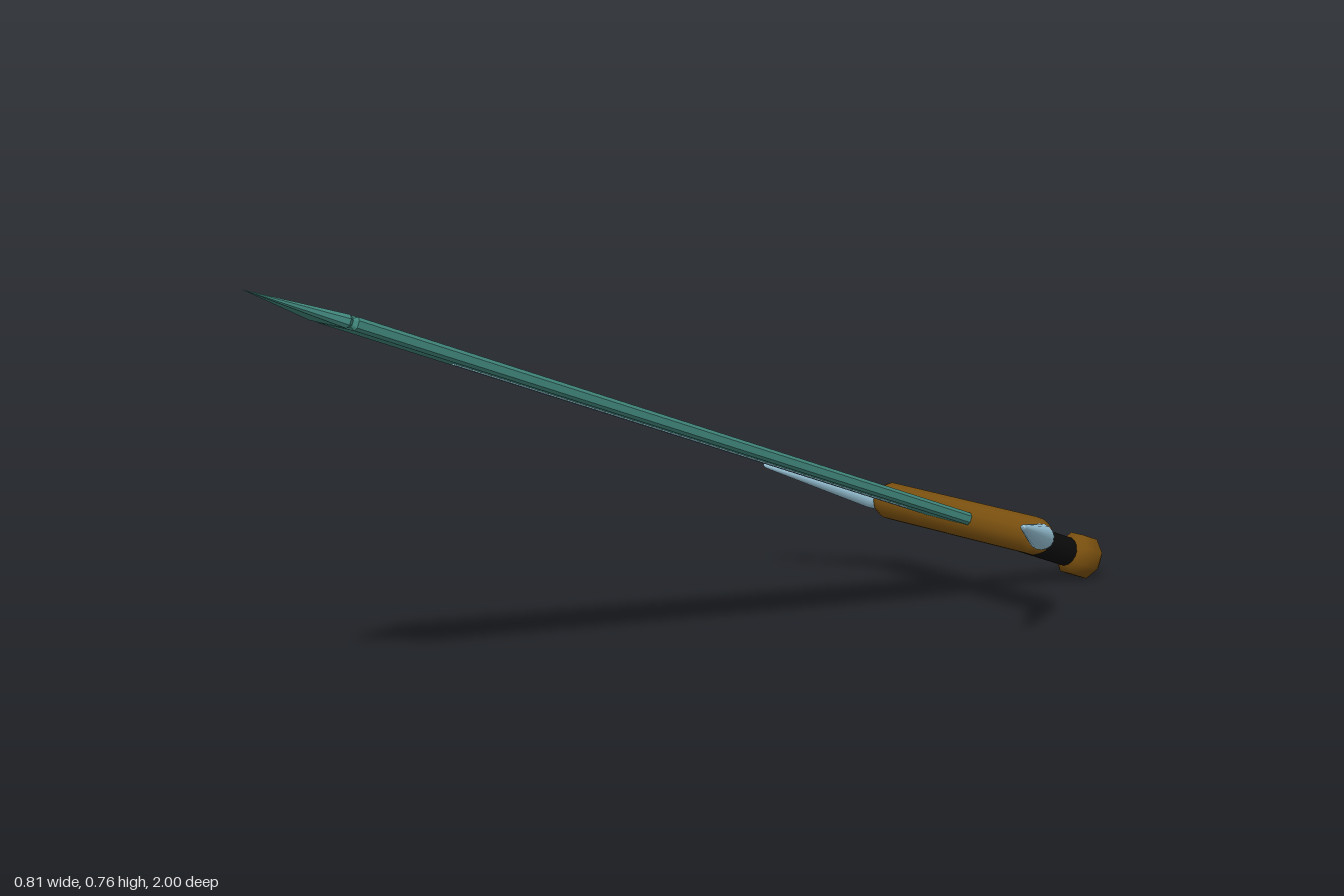
import * as THREE from 'three';

const V2 = (p) => new THREE.Vector2(p[0], p[1]);

// Solid of revolution about y, from [radius, height] points listed bottom to top
function turned(points, sides) {
  return new THREE.LatheGeometry(points.map(V2), sides, Math.PI / sides);
}

// Faceted bar along z: a bevelled rectangle swept through [z, halfWidth, halfThickness, bevel]
function bar(sections) {
  const rings = sections.map(([z, w, t, b]) => [
    [w, -t + b], [w, t - b], [w - b, t], [-w + b, t],
    [-w, t - b], [-w, -t + b], [-w + b, -t], [w - b, -t],
  ].map(([x, y]) => [x, y, z]));
  const pos = [];
  for (let r = 0; r < rings.length - 1; r++) {
    for (let i = 0; i < 8; i++) {
      const j = (i + 1) % 8, a = rings[r], c = rings[r + 1];
      pos.push(...a[i], ...a[j], ...c[j], ...a[i], ...c[j], ...c[i]);
    }
  }
  const g = new THREE.BufferGeometry();
  g.setAttribute('position', new THREE.Float32BufferAttribute(pos, 3));
  g.computeVertexNormals();
  return g;
}

export function createModel() {
  const material = (name, color) => {
    const m = new THREE.MeshStandardMaterial({ color });
    m.name = name;
    return m;
  };
  const teal = material('teal blade', 0x40857a);
  const bronze = material('bronze', 0x7a500f);
  const black = material('black grip', 0x0b0b0b);
  const ice = material('pale blue', 0x9cc8dc);

  // Built along z from the pommel centre, then tilted tip-up
  const sword = new THREE.Group();
  sword.name = 'sword';
  const add = (name, geometry, mat) => {
    const mesh = new THREE.Mesh(geometry, mat);
    mesh.name = name;
    sword.add(mesh);
    return mesh;
  };

  // Pommel
  add('pommel', turned([[0, -0.041], [0.026, -0.041], [0.0465, -0.02],
    [0.0465, 0.024], [0.026, 0.045], [0, 0.045]], 8).rotateX(Math.PI / 2), bronze);

  // Grip
  add('grip', turned([[0, 0.03], [0.024, 0.03], [0.031, 0.042],
    [0.031, 0.325], [0.024, 0.337], [0, 0.337]], 16).rotateX(Math.PI / 2), black);

  // Crossguard with bevelled ends
  add('crossguard', turned([[0, -0.25], [0.022, -0.25], [0.033, -0.24], [0.039, -0.222],
    [0.039, 0.222], [0.033, 0.24], [0.022, 0.25], [0, 0.25]], 12)
    .rotateZ(-Math.PI / 2).translate(0, 0, 0.357), bronze);

  // Forward-swept spikes at both guard ends
  for (const side of [1, -1]) {
    const base = new THREE.Vector3(side * 0.25, 0, 0.362);
    const tip = new THREE.Vector3(side * 0.404, 0, 0.568);
    const dir = tip.clone().sub(base);
    const len = dir.length();
    const spike = add(side > 0 ? 'leftSpike' : 'rightSpike',
      turned([[0, -0.005], [0.018, -0.005], [0.025, 0.006], [0.026, 0.022],
        [0.006, len - 0.008], [0.003, len], [0, len]], 16), ice);
    spike.position.copy(base);
    spike.quaternion.setFromUnitVectors(new THREE.Vector3(0, 1, 0), dir.normalize());
  }

  // Blade, with a narrow bevelled seam before the point
  add('blade', bar([[0.375, 0, 0, 0], [0.375, 0.072, 0.0125, 0.006],
    [1.888, 0.072, 0.0125, 0.006], [1.896, 0.064, 0.007, 0.003], [1.896, 0, 0, 0]]), teal);
  add('bladePoint', bar([[1.894, 0, 0, 0], [1.894, 0.064, 0.007, 0.003],
    [1.904, 0.072, 0.0125, 0.007], [2.082, 0, 0, 0]]), teal);

  // Inlay strip showing on both faces of the blade
  add('inlay', new THREE.BoxGeometry(0.018, 0.029, 1.122).translate(0, 0, 1.072), ice);

  sword.position.set(0, 0.047, -0.955);
  sword.rotation.x = -0.35;
  const model = new THREE.Group();
  model.name = 'tiltedSword';
  model.add(sword);
  return model;
}
